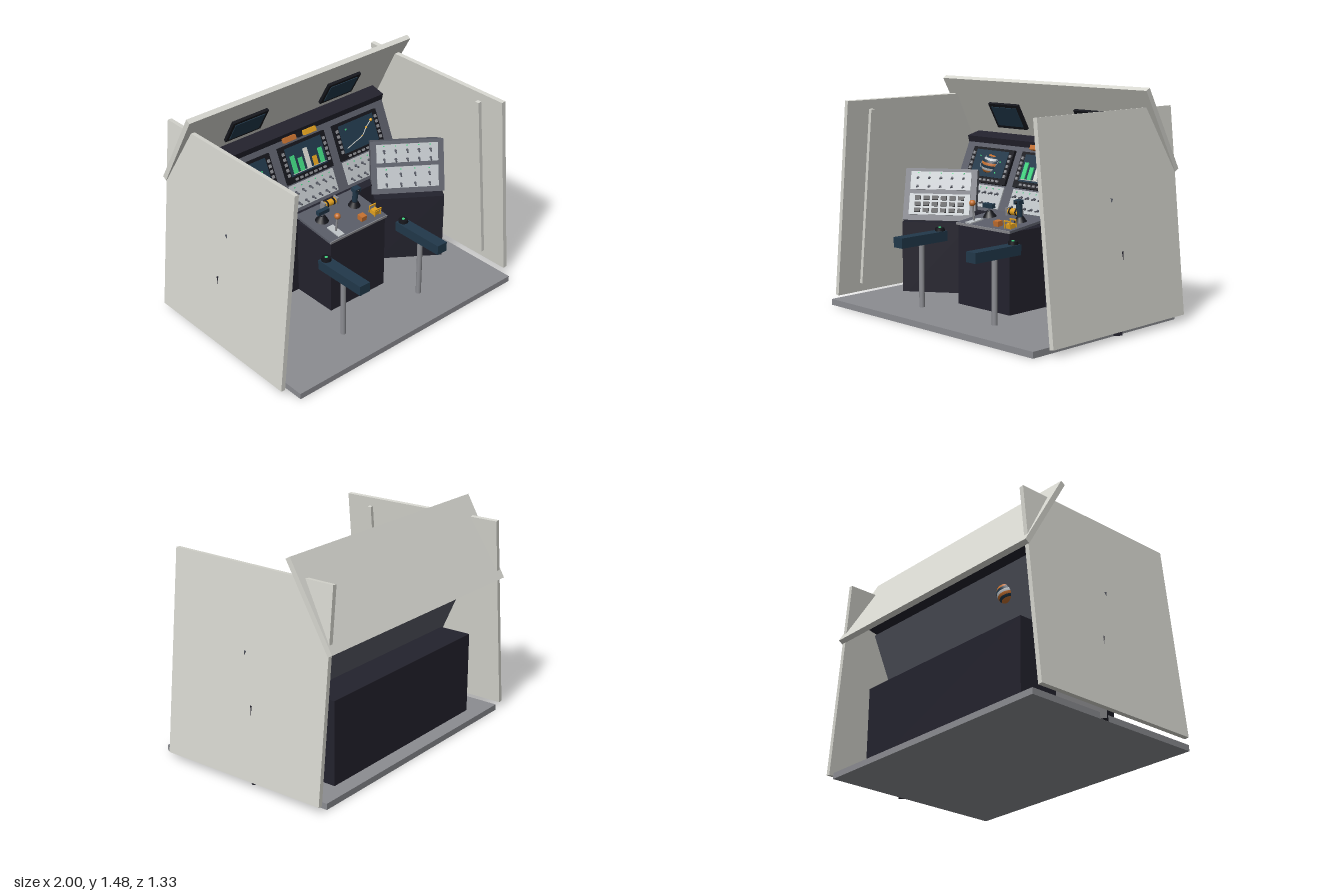
import * as THREE from 'three';

const mat = (name, hex) => {
  const m = new THREE.MeshStandardMaterial({ color: hex });
  m.name = name;
  return m;
};
const M = {
  shell: mat('offWhiteShell', 0xd6d6cf), floor: mat('floorGrey', 0x8b8c91),
  grey: mat('panelGrey', 0x5a5d68), dark: mat('darkCabinet', 0x23222d),
  black: mat('black', 0x15161c), blue: mat('screenBlue', 0x21384a),
  plate: mat('switchPlate', 0xbfc4c8), green: mat('green', 0x40d680),
  orange: mat('orange', 0xc4702f), amber: mat('amber', 0xe2a11f),
};
const rad = THREE.MathUtils.degToRad;

function add(parent, name, geo, m, x = 0, y = 0, z = 0) {
  const mesh = new THREE.Mesh(geo, m);
  mesh.name = name;
  mesh.position.set(x, y, z);
  parent.add(mesh);
  return mesh;
}
const box = (p, name, m, w, h, d, x, y, z) => add(p, name, new THREE.BoxGeometry(w, h, d), m, x, y, z);
const cyl = (p, name, m, r1, r2, h, x, y, z, n = 20) => add(p, name, new THREE.CylinderGeometry(r1, r2, h, n), m, x, y, z);
const ball = (p, name, m, r, x, y, z) => add(p, name, new THREE.SphereGeometry(r, 20, 14), m, x, y, z);
function group(parent, name, x, y, z) {
  const g = new THREE.Group();
  g.name = name;
  g.position.set(x, y, z);
  parent.add(g);
  return g;
}
// call f(x, y, row) over a centred grid
function grid(cols, rows, dx, dy, f) {
  for (let r = 0; r < rows; r++)
    for (let c = 0; c < cols; c++) f((c - (cols - 1) / 2) * dx, ((rows - 1) / 2 - r) * dy, r);
}

// light plate with rows of toggle switches and green lamps
function switchPlate(parent, w, h, x, y, cols, rows) {
  const g = group(parent, 'switchPlate', x, y, 0);
  box(g, 'plate', M.plate, w, h, 0.008, 0, 0, 0.004);
  grid(cols, rows, w / (cols + 0.3), h / (rows + 0.1), (tx, ty, r) => {
    cyl(g, 'toggleCollar', M.grey, 0.009, 0.009, 0.008, tx, ty - 0.01, 0.012, 10).rotation.x = Math.PI / 2;
    cyl(g, 'toggleLever', M.grey, 0.006, 0.004, 0.03, tx, ty - 0.016, 0.024, 8).rotation.x = rad(115);
    if (r === 0) box(g, 'lamp', M.green, 0.009, 0.007, 0.004, tx, ty + 0.022, 0.009);
  });
}

// bezel, display face and edge buttons
function screen(parent, x, y) {
  const g = group(parent, 'screen', x, y, 0);
  box(g, 'bezel', M.black, 0.39, 0.25, 0.02, 0, 0, 0.01);
  box(g, 'display', M.blue, 0.305, 0.19, 0.006, 0, 0.012, 0.022);
  grid(2, 5, 0.345, 0.036, (bx, by) => box(g, 'edgeButton', M.floor, 0.018, 0.02, 0.01, bx, by + 0.006, 0.024));
  grid(7, 1, 0.04, 1, (bx) => box(g, 'edgeButton', M.floor, 0.022, 0.014, 0.01, bx, -0.106, 0.024));
  return g;
}

function mainConsole(root) {
  box(root, 'consoleBase', M.dark, 1.44, 0.589, 0.36, 0, 0.2955, -0.35);
  const p = group(root, 'instrumentPanel', 0, 0.59, -0.24);
  p.rotation.x = rad(-24);
  box(p, 'panelBoard', M.grey, 1.5, 0.475, 0.06, 0, 0.2375, -0.03);
  [-0.465, 0, 0.465].forEach((x) => switchPlate(p, 0.375, 0.155, x, 0.1, 6, 2));

  // striped globe set through the left screen
  const s1 = screen(p, -0.465, 0.315);
  const globe = group(s1, 'globe', 0, 0.012, -0.012);
  globe.rotation.set(rad(24), 0, rad(-10));
  const bands = [M.blue, M.orange, M.blue, M.plate, M.blue, M.orange, M.blue, M.plate, M.orange, M.blue, M.orange, M.orange, M.orange];
  const step = Math.PI / bands.length;
  bands.forEach((m, i) => add(globe, 'globeBand', new THREE.SphereGeometry(0.077, 28, 2, 0, Math.PI * 2, i * step, step), m));
  const orbit = add(s1, 'orbitRing', new THREE.TorusGeometry(0.082, 0.002, 6, 40), M.plate, 0, 0.012, 0.027);
  orbit.scale.y = 0.45;
  orbit.rotation.z = rad(12);
  [[-0.1, 0.06], [0.1, 0.03], [0.08, -0.05]].forEach(([x, y]) => box(s1, 'marker', M.green, 0.01, 0.01, 0.004, x, y, 0.026));

  // bar chart
  const s2 = screen(p, 0, 0.315);
  [[M.green, 0.118], [M.green, 0.088], [M.shell, 0.135], [M.amber, 0.062], [M.green, 0.1]].forEach(([m, h], i) =>
    box(s2, 'chartBar', m, 0.034, h, 0.008, (i - 2) * 0.057, -0.068 + h / 2, 0.028));
  box(s2, 'chartBaseline', M.shell, 0.28, 0.004, 0.006, 0, -0.07, 0.027);

  // rising curve
  const s3 = screen(p, 0.465, 0.315);
  const pts = [[-0.13, -0.055], [-0.06, -0.035], [0.02, -0.012], [0.07, 0.03], [0.125, 0.066]];
  const curve = new THREE.CatmullRomCurve3(pts.map(([x, y]) => new THREE.Vector3(x, y, 0.028)));
  add(s3, 'trajectory', new THREE.TubeGeometry(curve, 30, 0.003, 6), M.shell);
  pts.slice(2).forEach(([x, y], i) => ball(s3, 'trajectoryPoint', M.amber, 0.005 + i * 0.003, x, y, 0.028));
  box(s3, 'marker', M.green, 0.012, 0.01, 0.004, -0.1, 0.07, 0.026);

  // warning lamps above the middle screen
  box(p, 'warningLamp', M.orange, 0.097, 0.032, 0.03, -0.086, 0.474, 0.015);
  box(p, 'cautionLamp', M.amber, 0.097, 0.032, 0.03, 0.086, 0.474, 0.015);
  box(p, 'lampSeparator', M.black, 0.035, 0.03, 0.03, 0, 0.474, 0.01);
  box(root, 'glareHood', M.dark, 1.52, 0.055, 0.11, 0, 1.052, -0.49).rotation.x = rad(14);
}

function centrePedestal(root) {
  box(root, 'pedestal', M.dark, 0.47, 0.57, 0.33, 0, 0.287, -0.008);
  const t = group(root, 'pedestalTop', 0, 0.595, -0.008);
  t.rotation.x = rad(7);
  box(t, 'topPlate', M.grey, 0.49, 0.016, 0.345, 0, 0, 0);
  box(t, 'frontTrim', M.floor, 0.49, 0.016, 0.006, 0, 0, 0.175);

  // crossbar grip on the left
  cyl(t, 'gripBoot', M.black, 0.018, 0.045, 0.04, -0.14, 0.028, -0.03);
  cyl(t, 'gripStem', M.grey, 0.009, 0.009, 0.05, -0.14, 0.06, -0.03);
  box(t, 'crossbarGrip', M.blue, 0.09, 0.028, 0.028, -0.14, 0.082, -0.03);

  // flight stick on the right
  cyl(t, 'stickBoot', M.black, 0.022, 0.042, 0.035, 0.14, 0.025, -0.03);
  cyl(t, 'stickGrip', M.blue, 0.022, 0.017, 0.12, 0.14, 0.09, -0.03);
  box(t, 'stickHead', M.blue, 0.05, 0.028, 0.042, 0.14, 0.138, -0.028);
  ball(t, 'trigger', M.black, 0.009, 0.14, 0.14, -0.006);

  // banded roller
  cyl(t, 'roller', M.amber, 0.022, 0.022, 0.09, 0, 0.034, -0.12).rotation.z = Math.PI / 2;
  [-0.028, 0.028].forEach((x) => cyl(t, 'rollerBand', M.black, 0.0235, 0.0235, 0.012, x, 0.034, -0.12).rotation.z = Math.PI / 2);
  [-0.055, 0.055].forEach((x) => box(t, 'rollerBracket', M.floor, 0.016, 0.05, 0.04, x, 0.033, -0.12));

  // ball lever
  box(t, 'leverPlate', M.plate, 0.05, 0.008, 0.115, -0.143, 0.012, 0.108);
  cyl(t, 'leverStem', M.floor, 0.007, 0.007, 0.11, -0.143, 0.068, 0.11);
  ball(t, 'leverKnob', M.orange, 0.021, -0.143, 0.132, 0.11);

  // push buttons, one with wire guards
  box(t, 'orangeButton', M.orange, 0.043, 0.035, 0.043, 0.08, 0.025, 0.112);
  box(t, 'amberButton', M.amber, 0.043, 0.03, 0.043, 0.192, 0.022, 0.112);
  [0.085, 0.14].forEach((z) => {
    [0.168, 0.216].forEach((x) => cyl(t, 'guardPost', M.amber, 0.004, 0.004, 0.05, x, 0.033, z, 8));
    box(t, 'guardBar', M.amber, 0.056, 0.008, 0.008, 0.192, 0.058, z);
  });
}

// angled consoles on either side, s = +1 for the model's left
function sideConsole(root, s) {
  const g = group(root, s > 0 ? 'leftConsole' : 'rightConsole', s * 0.67, 0, -0.092);
  g.rotation.y = rad(-35.5 * s);
  box(g, 'cabinet', M.dark, 0.475, 0.519, 0.32, 0, 0.2605, 0);
  const d = group(g, 'desk', 0, 0.695, 0.04);
  d.rotation.x = rad(-20);
  box(d, 'deskBoard', M.grey, 0.5, 0.362, 0.07, 0, 0, -0.035);
  switchPlate(d, 0.42, 0.125, 0, 0.095, 5, 2);
  if (s > 0) {
    switchPlate(d, 0.42, 0.145, 0, -0.07, 4, 2);
  } else {
    box(d, 'keyPlate', M.plate, 0.42, 0.145, 0.008, 0, -0.07, 0.004);
    grid(6, 3, 0.06, 0.043, (x, y) => box(d, 'key', M.black, 0.04, 0.028, 0.016, x, y - 0.07, 0.014));
  }
}

function armrest(root, s) {
  const g = group(root, s > 0 ? 'leftArmrest' : 'rightArmrest', s * 0.335, 0, 0);
  cyl(g, 'post', M.floor, 0.018, 0.018, 0.42, 0, 0.25, 0.388);
  box(g, 'armPad', M.blue, 0.08, 0.066, 0.39, 0, 0.488, 0.392);
  cyl(g, 'dial', M.black, 0.031, 0.033, 0.022, 0, 0.53, 0.228, 24);
  cyl(g, 'dialLamp', M.green, 0.01, 0.01, 0.006, 0, 0.543, 0.228, 12);
}

function sideWall(root, s) {
  const g = group(root, s > 0 ? 'leftWall' : 'rightWall', s * 0.916, 0.7, -0.03);
  g.rotation.z = rad(6 * s);
  box(g, 'wallPanel', M.shell, 0.03, 1.322, 1.21, 0, 0, 0);
  box(g, 'wallRib', M.shell, 0.025, 1.2, 0.03, -s * 0.0275, 0, 0.41);
}

function canopy(root) {
  const g = group(root, 'canopy', 0, 1.214, -0.499);
  g.rotation.x = rad(30);
  box(g, 'canopyPanel', M.shell, 1.82, 0.6, 0.035, 0, 0, 0);
  [-0.393, 0.393].forEach((x) => {
    box(g, 'monitorFrame', M.black, 0.28, 0.195, 0.02, x, 0.025, 0.0275);
    box(g, 'monitorFace', M.blue, 0.235, 0.15, 0.006, x, 0.025, 0.039);
  });
}

export function createModel() {
  const root = new THREE.Group();
  root.name = 'cockpit';
  box(root, 'floor', M.floor, 1.85, 0.04, 1.3, 0, 0.02, 0.015);
  mainConsole(root);
  centrePedestal(root);
  canopy(root);
  [-1, 1].forEach((s) => {
    sideConsole(root, s);
    armrest(root, s);
    sideWall(root, s);
  });
  return root;
}
